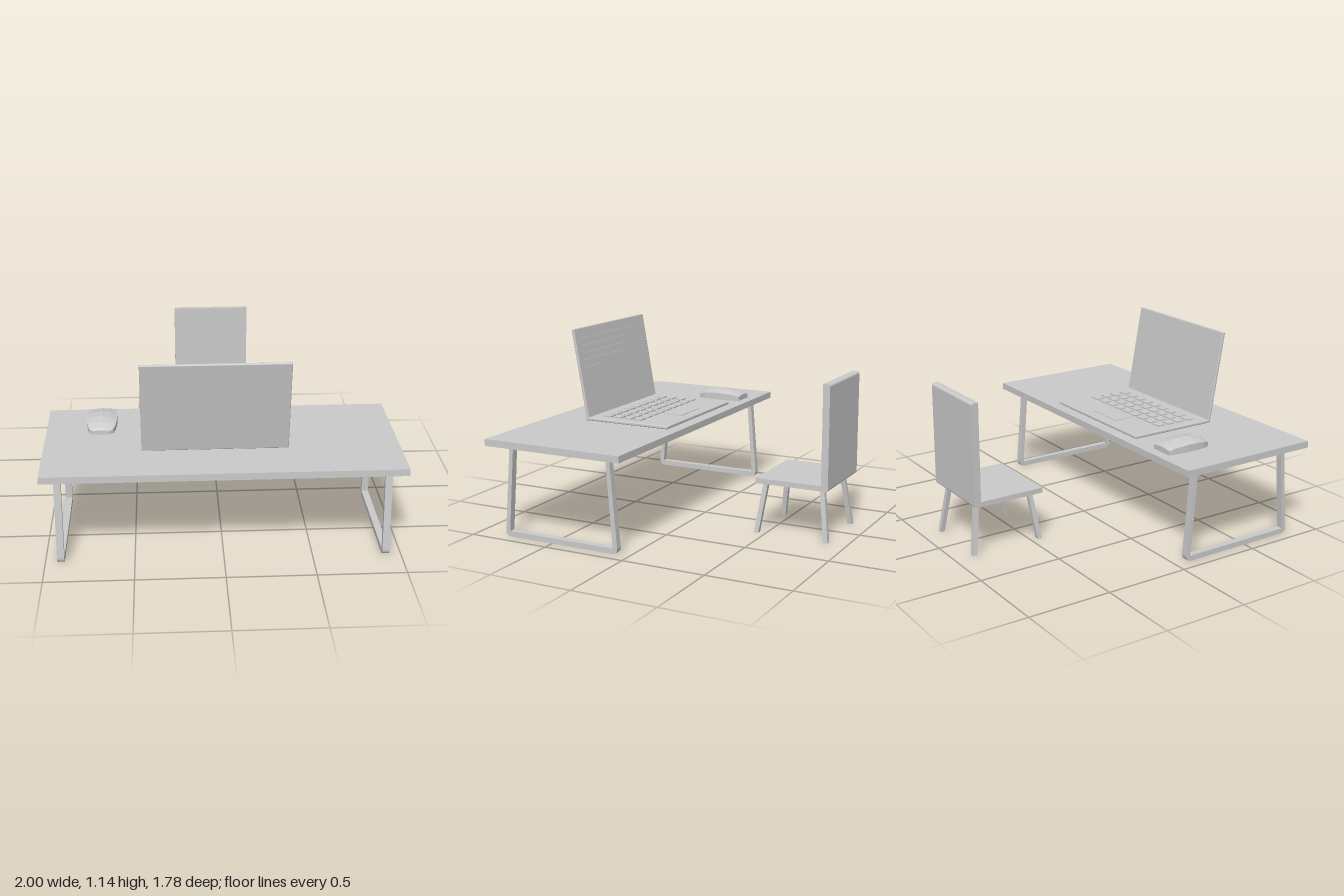
import * as THREE from 'three';
import { RoundedBoxGeometry } from 'three/addons/geometries/RoundedBoxGeometry.js';

const grey = new THREE.MeshStandardMaterial({ color: 0xcccccc });
const faceted = new THREE.MeshStandardMaterial({ color: 0xcccccc, flatShading: true });

function add(parent, name, geometry, x = 0, y = 0, z = 0, material = grey) {
  const mesh = new THREE.Mesh(geometry, material);
  mesh.name = name;
  mesh.position.set(x, y, z);
  parent.add(mesh);
  return mesh;
}

function group(parent, name) {
  const g = new THREE.Group();
  g.name = name;
  parent.add(g);
  return g;
}

// Side profile drawn as (z, y), extruded along x and centred
function sideExtrude(shape, width) {
  const g = new THREE.ExtrudeGeometry(shape, { depth: width, bevelEnabled: false, curveSegments: 5 });
  return g.translate(0, 0, -width / 2).rotateY(-Math.PI / 2);
}

// Square bar whose top and bottom are level, leaning from bottom to top
function leaningBar(size, bottom, top) {
  const g = new THREE.BoxGeometry(size, 1, size).translate(0, 0.5, 0);
  const p = g.attributes.position;
  const a = new THREE.Vector3(...bottom), d = new THREE.Vector3(...top).sub(a);
  for (let i = 0; i < p.count; i++) {
    const t = p.getY(i);
    p.setXYZ(i, p.getX(i) + a.x + d.x * t, a.y + d.y * t, p.getZ(i) + a.z + d.z * t);
  }
  g.computeVertexNormals();
  return g;
}

// Closed skin through equal-sized rings, with capped ends
function loft(rings) {
  const n = rings[0].length, index = [];
  for (let r = 0; r < rings.length - 1; r++)
    for (let i = 0; i < n; i++) {
      const a = r * n + i, b = r * n + (i + 1) % n;
      index.push(a, b, a + n, b, b + n, a + n);
    }
  const last = (rings.length - 1) * n;
  for (let i = 1; i < n - 1; i++) {
    index.push(0, i + 1, i);
    index.push(last, last + i, last + i + 1);
  }
  const g = new THREE.BufferGeometry();
  g.setAttribute('position', new THREE.Float32BufferAttribute(rings.flat(2), 3));
  g.setIndex(index);
  g.computeVertexNormals();
  return g;
}

function buildDesk(root) {
  const desk = group(root, 'desk');
  add(desk, 'deskTop', new THREE.BoxGeometry(2, 0.04, 0.88), 0, 0.56, 0.45);

  // U-shaped leg frames, wider at the floor
  const u = new THREE.Shape();
  u.moveTo(0.112, 0.54);
  u.lineTo(0.07, 0.035);
  u.quadraticCurveTo(0.07, 0.005, 0.1, 0);
  u.lineTo(0.785, 0);
  u.quadraticCurveTo(0.815, 0.005, 0.815, 0.035);
  u.lineTo(0.77, 0.54);
  u.lineTo(0.745, 0.54);
  u.lineTo(0.787, 0.032);
  u.lineTo(0.098, 0.032);
  u.lineTo(0.137, 0.54);
  u.closePath();
  for (const s of [-1, 1]) add(desk, 'deskLegFrame', sideExtrude(u, 0.04), s * 0.912, 0, 0);
}

function buildChair(root) {
  const chair = group(root, 'chair');
  // Seat and backrest as one bent slab
  const slab = new THREE.Shape();
  slab.moveTo(-0.443, 0.302);
  slab.lineTo(-0.443, 0.333);
  slab.lineTo(-0.845, 0.333);
  slab.lineTo(-0.845, 0.915);
  slab.lineTo(-0.872, 0.915);
  slab.quadraticCurveTo(-0.886, 0.912, -0.886, 0.9);
  slab.lineTo(-0.886, 0.317);
  slab.quadraticCurveTo(-0.886, 0.302, -0.868, 0.302);
  slab.closePath();
  add(chair, 'seatAndBack', sideExtrude(slab, 0.476));

  // Splayed legs
  for (const [topX, footX] of [[-0.148, -0.19], [0.173, 0.214]])
    for (const [topZ, footZ] of [[-0.487, -0.445], [-0.832, -0.874]])
      add(chair, 'chairLeg', leaningBar(0.028, [footX, 0, footZ], [topX, 0.305, topZ]));
}

function buildLaptop(root) {
  const laptop = group(root, 'laptop');
  laptop.position.x = -0.04;
  add(laptop, 'laptopBase', new RoundedBoxGeometry(0.82, 0.019, 0.55, 2, 0.006), 0, 0.6, 0.335);
  add(laptop, 'trackpad', new THREE.BoxGeometry(0.23, 0.006, 0.12), 0, 0.61, 0.185);

  // Keyboard
  const keys = group(laptop, 'keyboard');
  for (let row = 0; row < 4; row++)
    for (let col = 0; col < 9; col++)
      add(keys, 'key', new THREE.BoxGeometry(0.06, 0.012, 0.05), (col - 4) * 0.08, 0.611, 0.295 + row * 0.07);

  // Lid hinged at the far edge, leaning outward
  const lid = group(laptop, 'lid');
  lid.position.set(0, 0.592, 0.604);
  lid.rotation.x = 0.172;
  add(lid, 'screen', new RoundedBoxGeometry(0.82, 0.553, 0.018, 2, 0.006), 0, 0.275, 0);

  // Rows of small raised dashes on the screen
  [0.63, 0.545, 0.51, 0.5, 0.17].forEach((length, row) => {
    const count = Math.round(length / 0.032), pitch = length / count;
    for (let i = 0; i < count; i++)
      add(lid, 'screenDash', new THREE.BoxGeometry(pitch * 0.8, 0.01, 0.006),
        0.35 - (i + 0.5) * pitch, 0.49 - row * 0.044, -0.01);
  });
}

function buildMouse(root) {
  const mouse = group(root, 'mouse');
  mouse.position.x = -0.682;

  // Outline half widths along z, shared by the sole and the shell
  const stations = [ // z, half width, edge height, ridge height
    [0.07, 0.072, 0.606, 0.614], [0.105, 0.078, 0.616, 0.627],
    [0.18, 0.087, 0.624, 0.643], [0.25, 0.088, 0.625, 0.645],
    [0.31, 0.082, 0.618, 0.635], [0.352, 0.068, 0.606, 0.618], [0.366, 0.045, 0.602, 0.607],
  ];
  const shell = stations.map(([z, w, edge, ridge]) => [
    [-w, 0.592, z], [w, 0.592, z], [w, edge, z], [w * 0.5, (edge + ridge * 2) / 3, z],
    [0, ridge, z], [-w * 0.5, (edge + ridge * 2) / 3, z], [-w, edge, z],
  ]);
  add(mouse, 'mouseShell', loft(shell), 0, 0, 0, faceted);

  const sole = stations.map(([z, w]) => [
    [-w * 0.97, 0.58, z], [w * 0.97, 0.58, z], [w * 0.97, 0.592, z], [-w * 0.97, 0.592, z],
  ]);
  add(mouse, 'mouseSole', loft(sole), 0, 0, 0, faceted);
}

export function createModel() {
  const root = new THREE.Group();
  root.name = 'deskSet';
  buildDesk(root);
  buildChair(root);
  buildLaptop(root);
  buildMouse(root);
  return root;
}
